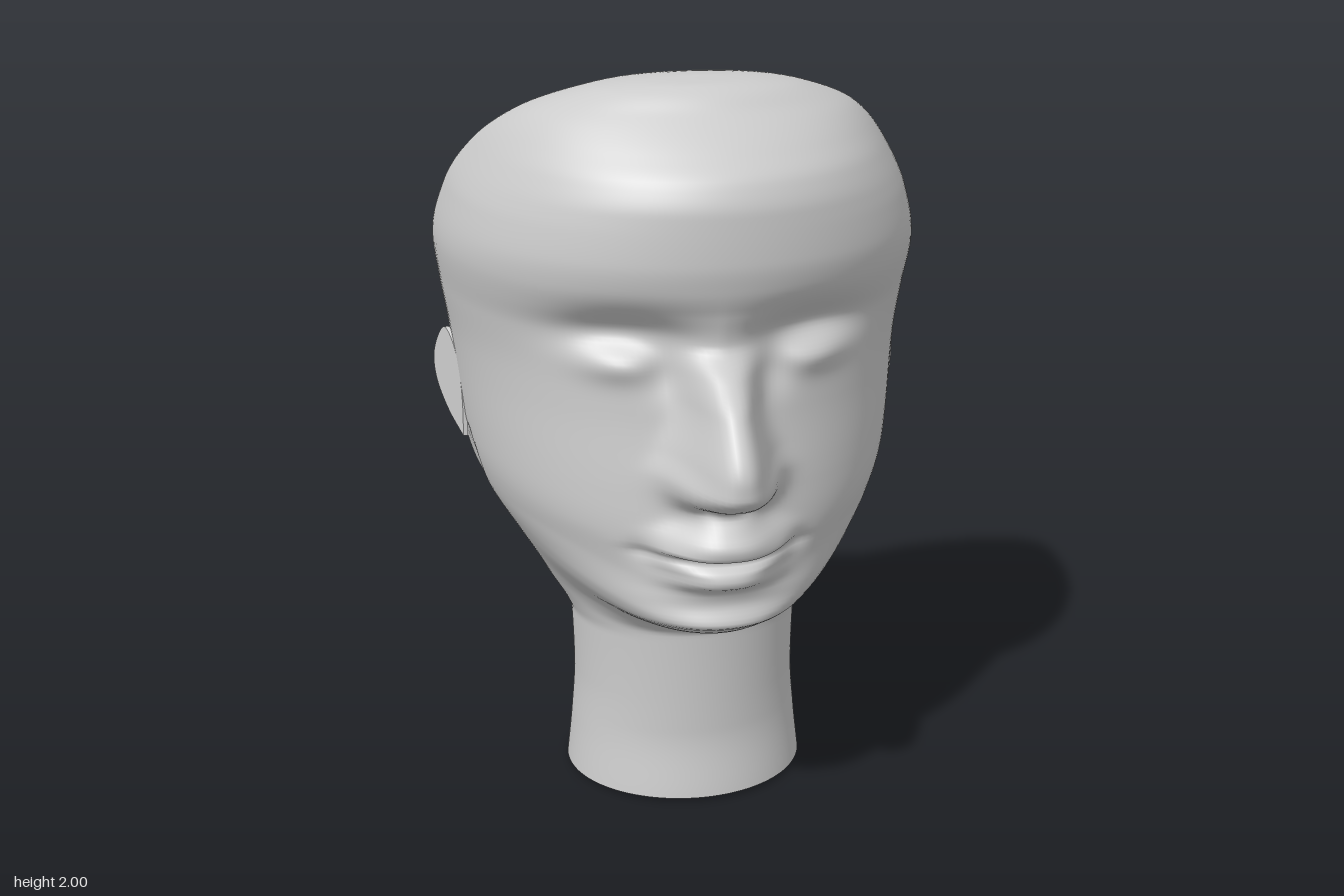
import * as THREE from 'three';

// Smooth, overshoot-free curve through [y, value] pairs
function curve(pts) {
  const sec = pts.slice(1).map((p, i) => (p[1] - pts[i][1]) / (p[0] - pts[i][0]));
  const slope = pts.map((_, i) => {
    if (i === 0) return sec[0];
    if (i === sec.length) return sec[i - 1];
    const a = sec[i - 1], b = sec[i];
    return a * b <= 0 ? 0 : (2 * a * b) / (a + b);
  });
  return (y) => {
    if (y <= pts[0][0]) return pts[0][1];
    if (y >= pts[pts.length - 1][0]) return pts[pts.length - 1][1];
    let i = 0;
    while (y > pts[i + 1][0]) i++;
    const h = pts[i + 1][0] - pts[i][0], t = (y - pts[i][0]) / h, t2 = t * t, t3 = t2 * t;
    return (2 * t3 - 3 * t2 + 1) * pts[i][1] + (t3 - 2 * t2 + t) * h * slope[i]
      + (3 * t2 - 2 * t3) * pts[i + 1][1] + (t3 - t2) * h * slope[i + 1];
  };
}

const { smoothstep } = THREE.MathUtils;
const bump = (x, y, cx, cy, rx, ry) => Math.exp(-(((x - cx) / rx) ** 2) - ((y - cy) / ry) ** 2);

// Half width, back, front and widest depth of the horizontal sections
const width = curve([[0.01, 0.335], [0.15, 0.32], [0.3, 0.31], [0.48, 0.315], [0.52, 0.33], [0.62, 0.395],
  [0.75, 0.475], [0.9, 0.56], [1, 0.585], [1.27, 0.612], [1.4, 0.632], [1.52, 0.645], [1.67, 0.612],
  [1.8, 0.54], [1.9, 0.44], [1.97, 0.28], [1.99, 0.18], [1.998, 0.09], [2, 0.01]]);
const back = curve([[0.01, -0.455], [0.2, -0.44], [0.5, -0.44], [0.52, -0.45], [0.63, -0.535], [0.8, -0.61],
  [1.05, -0.647], [1.25, -0.638], [1.5, -0.582], [1.7, -0.48], [1.85, -0.33], [1.98, -0.11], [1.995, -0.02],
  [2, 0.05]]);
const front = curve([[0.01, 0.16], [0.2, 0.135], [0.5, 0.14], [0.525, 0.165], [0.63, 0.4], [0.66, 0.415],
  [0.75, 0.4], [0.85, 0.405], [1, 0.395], [1.2, 0.37], [1.3, 0.365], [1.4, 0.378], [1.47, 0.402],
  [1.53, 0.42], [1.6, 0.43], [1.72, 0.425], [1.79, 0.4], [1.85, 0.34], [1.93, 0.24], [1.99, 0.16], [2, 0.07]]);
const widest = curve([[0.01, -0.15], [0.5, -0.15], [0.75, -0.25], [1, -0.3], [1.5, -0.33], [1.7, -0.28],
  [1.8, -0.21], [1.9, -0.08], [2, 0.06]]);

// Roundness of the back half: 2 is an ellipse, more is fuller
const fullness = curve([[0.48, 2], [0.75, 2.35], [1.05, 2.75], [1.4, 3.4], [1.6, 3.5], [1.8, 3], [2, 2]]);

// Centre line of chin, lips and nose, and how far each spreads sideways
const profile = curve([[0.63, 0.4], [0.656, 0.44], [0.71, 0.42], [0.746, 0.43], [0.79, 0.488], [0.815, 0.485],
  [0.845, 0.44], [0.862, 0.505], [0.89, 0.512], [0.93, 0.488], [0.97, 0.465], [0.995, 0.51], [1.03, 0.59],
  [1.07, 0.632], [1.106, 0.632], [1.25, 0.545], [1.32, 0.465], [1.386, 0.39], [1.47, 0.402]]);
const spread = curve([[0.63, 0.2], [0.7, 0.19], [0.75, 0.15], [0.8, 0.13], [0.85, 0.165], [0.9, 0.135],
  [0.95, 0.1], [0.98, 0.11], [1.05, 0.118], [1.12, 0.1], [1.25, 0.075], [1.4, 0.085], [1.47, 0.15]]);

// Shallow slanting crease behind the jaw, below the ear
function jawCrease(y, z) {
  const line = -0.24 + 0.15 * (1 - y);
  return 0.03 * smoothstep(y, 0.56, 0.75) * (1 - smoothstep(y, 0.9, 1.05)) * Math.exp(-(((z - line) / 0.045) ** 2));
}

// Surface point at height y and angle t (0 = front, PI = back), for x >= 0
function headPoint(y, t) {
  const w = width(y), c = widest(y);
  if (t > Math.PI / 2) {
    const n = 2 / fullness(y);
    const x = w * Math.max(0, Math.sin(t)) ** n;
    let z = c + (back(y) - c) * Math.abs(Math.cos(t)) ** n;
    // Groove down the middle of the back, broadening over the crown
    const high = smoothstep(y, 1.3, 1.75);
    const fade = smoothstep(y, 0.48, 0.65) * (1 - smoothstep(y, 1.8, 2));
    z += (0.05 + 0.05 * high) * fade * Math.exp(-((x / (0.13 + 0.1 * high)) ** 1.5));
    return [x - jawCrease(y, z), z];
  }
  const x = w * Math.sin(t);
  // Jaw line rises towards the sides, forehead is a little squarer
  const lifted = y - 0.7 * x * x * smoothstep(y, 0.45, 0.6) * (1 - smoothstep(y, 0.8, 1.05));
  const square = 1 - 0.1 * Math.exp(-(((y - 1.6) / 0.15) ** 2));
  let z = c + (front(lifted) - c) * Math.max(0, Math.cos(t)) ** square;
  if (y > 0.63 && y < 1.47) z += (profile(y) - front(y)) * Math.exp(-((x / spread(y)) ** 2.8));
  z -= 0.06 * bump(x, y, 0.24, 1.405, 0.16, 0.068);          // eye socket
  z += 0.035 * bump(x, y, 0.26, 1.335, 0.09, 0.045);         // eyelid
  z -= 0.02 * bump(x, y, 0.14, 1.31, 0.05, 0.06);            // inner eye corner
  z += 0.02 * bump(x, y, 0.105, 1.035, 0.035, 0.04);         // nostril wing
  z -= 0.02 * bump(x, y, 0.05, 0.99, 0.025, 0.015);          // nostril
  z -= 0.02 * bump(x, y, 0.2, 0.85, 0.04, 0.03);             // mouth corner
  return [x - jawCrease(y, z), z];
}

function ring(y, half) {
  const pts = [];
  for (let j = 0; j < 2 * half; j++) {
    const s = (j <= half ? j : 2 * half - j) / half;
    const [x, z] = headPoint(y, Math.PI * (0.5 * s + 0.5 * s * s));
    pts.push(j > half ? -x : x, y, z);
  }
  return pts;
}

function surface(positions, index) {
  const g = new THREE.BufferGeometry();
  g.setAttribute('position', new THREE.Float32BufferAttribute(positions, 3));
  g.setIndex(index);
  g.computeVertexNormals();
  return g;
}

// Thin ear flap drawn in side view, hinged at its front edge and flaring backwards
function earGeometry() {
  const outline = [[0.22, 0.985], [0.29, 1.04], [0.345, 1.11], [0.362, 1.175], [0.345, 1.235], [0.31, 1.27],
    [0.26, 1.21], [0.23, 1.1]].map(([u, y]) => new THREE.Vector2(u, y));
  const shape = new THREE.Shape(new THREE.SplineCurve([...outline, outline[0]]).getPoints(48).slice(0, -1));
  const g = new THREE.ExtrudeGeometry(shape, { depth: 0.012, bevelEnabled: false });
  g.rotateY(Math.PI / 2);
  const p = g.attributes.position;
  for (let i = 0; i < p.count; i++) {
    const rise = p.getY(i) - 1;
    p.setX(i, p.getX(i) + 0.582 + 0.1 * rise + 0.5 * (-p.getZ(i) - 0.22 - 0.3 * rise));
  }
  g.computeVertexNormals();
  return g;
}

export function createModel() {
  const model = new THREE.Group();
  const material = new THREE.MeshStandardMaterial({ color: 0xcccccc });
  const add = (geometry, name) => {
    const mesh = new THREE.Mesh(geometry, material);
    mesh.name = name;
    model.add(mesh);
    return mesh;
  };

  // Head and neck: lofted horizontal sections, closed at the crown
  const half = 72, cols = 2 * half, heights = [];
  for (let i = 0; i < 170; i++) heights.push(0.01 + (1.79 * i) / 170);
  for (let i = 0; i <= 30; i++) heights.push(1.8 + 0.2 * Math.sin((i / 30) * Math.PI / 2));
  const positions = heights.flatMap((y) => ring(y, half));
  const index = [];
  for (let i = 0; i < heights.length - 1; i++) {
    for (let j = 0; j < cols; j++) {
      const a = i * cols + j, b = i * cols + (j + 1) % cols;
      index.push(a, b, a + cols, b, b + cols, a + cols);
    }
  }
  const crown = heights.length * cols;
  positions.push(0, 2, 0.06);
  for (let j = 0; j < cols; j++) index.push(crown - cols + j, crown - cols + (j + 1) % cols, crown);
  add(surface(positions, index), 'headAndNeck');

  // Slightly bulged underside of the neck
  const base = ring(0.01, half), baseIndex = [];
  base.push(0, 0, -0.15);
  for (let j = 0; j < cols; j++) baseIndex.push(cols, (j + 1) % cols, j);
  add(surface(base, baseIndex), 'neckBase');

  // Mirrored ears
  add(earGeometry(), 'leftEar');
  add(earGeometry(), 'rightEar').scale.x = -1;
  return model;
}
